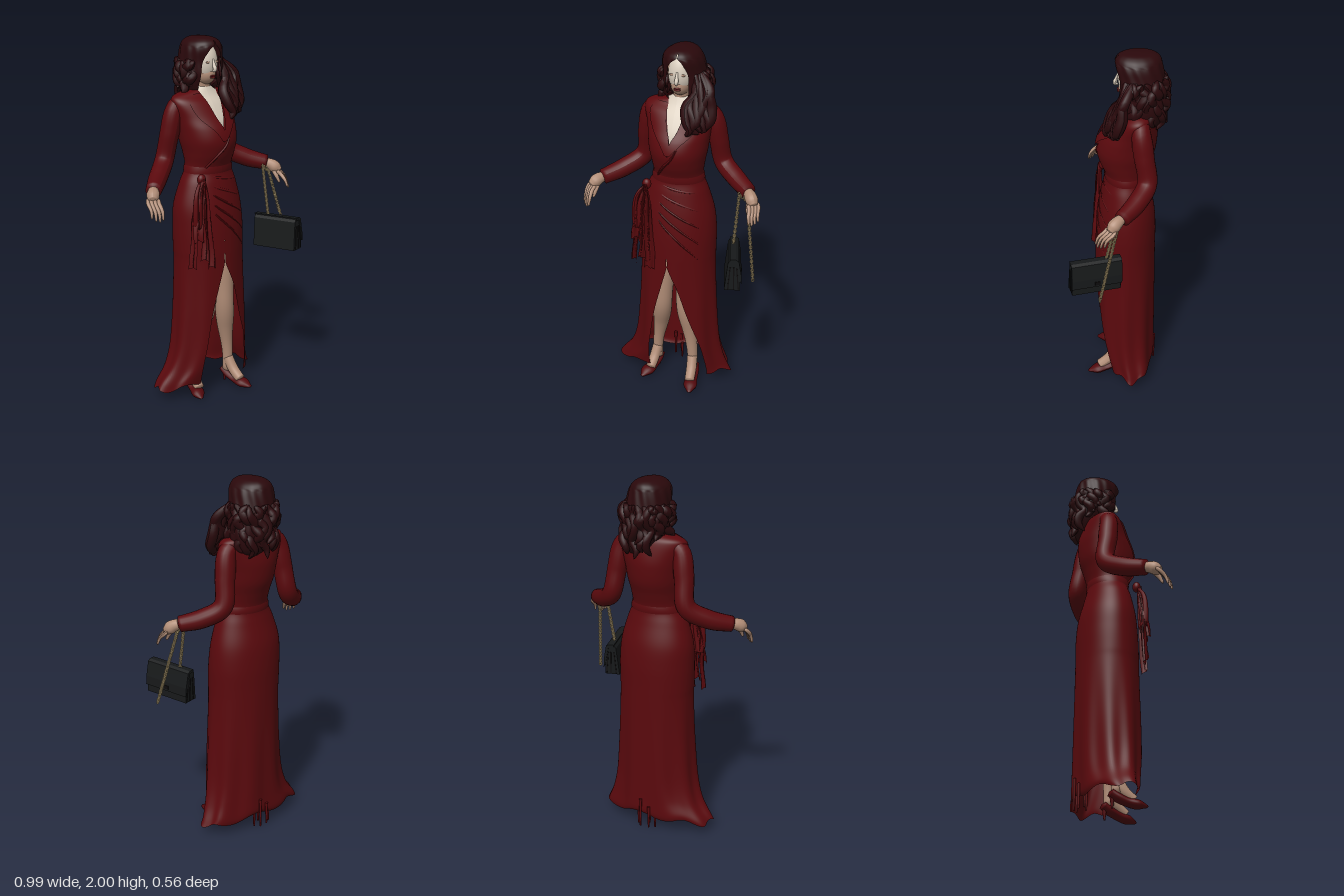
import * as THREE from 'three';

const paint = (name, color, side = THREE.FrontSide) => {
  const m = new THREE.MeshStandardMaterial({ color, side });
  m.name = name;
  return m;
};
const V = (p) => new THREE.Vector3(...p);

// smooth interpolation through a list of numbers or rows, t in 0..1
const cat = (a, b, c, d, f) =>
  b + 0.5 * f * (c - a + f * (2 * a - 5 * b + 4 * c - d + f * (3 * (b - c) + d - a)));
function sample(list, t) {
  const n = list.length - 1, i = Math.min(Math.floor(t * n), n - 1), f = t * n - i;
  const q = [-1, 0, 1, 2].map((k) => list[Math.min(Math.max(i + k, 0), n)]);
  if (typeof q[0] === 'number') return cat(...q, f);
  return q[0].map((_, k) => cat(q[0][k], q[1][k], q[2][k], q[3][k], f));
}

// sheet of quads from fn(u, v); u runs around, v runs down
function grid(nu, nv, fn) {
  const pos = [], idx = [];
  for (let j = 0; j <= nv; j++) for (let i = 0; i <= nu; i++) pos.push(...fn(i / nu, j / nv));
  for (let j = 0; j < nv; j++) for (let i = 0; i < nu; i++) {
    const a = j * (nu + 1) + i, b = a + nu + 1;
    idx.push(b, b + 1, a, b + 1, a + 1, a);
  }
  const g = new THREE.BufferGeometry();
  g.setAttribute('position', new THREE.Float32BufferAttribute(pos, 3));
  g.setIndex(idx);
  g.computeVertexNormals();
  return g;
}

// row: [y, xMin, xMax, zBack, zFront, gapLeft, gapRight]; angle 0 faces the front
const around = ([y, x0, x1, zb, zf], a, k = 1) => [
  (x0 + x1) / 2 + ((x1 - x0) / 2) * Math.sin(a) * k, y, (zb + zf) / 2 + ((zf - zb) / 2) * Math.cos(a) * k];
const edge = (r, x) => Math.asin(THREE.MathUtils.clamp((2 * x - r[1] - r[2]) / (r[2] - r[1]), -1, 1));
function loft(rows, nu, nv, ripple = () => 1, drop = () => 0) {
  return grid(nu, nv, (u, v) => {
    const r = sample(rows, v), l = Math.min(r[5], r[6]), h = Math.max(r[5], r[6]);
    const a = THREE.MathUtils.lerp(edge(r, h), edge(r, l) + 2 * Math.PI, u);
    const p = around(r, a, ripple(a, r[0]));
    p[1] += drop(a, r[0]);
    return p;
  });
}

// tapered tube through points
function limb(points, radii, sides = 14, steps = 24) {
  const curve = new THREE.CatmullRomCurve3(points.map(V));
  const g = new THREE.TubeGeometry(curve, steps, 1, sides), pos = g.attributes.position;
  const p = new THREE.Vector3();
  for (let i = 0; i <= steps; i++) {
    const c = curve.getPointAt(i / steps), r = i % steps ? sample(radii, i / steps) : 0.001;
    for (let j = 0; j <= sides; j++) {
      const k = i * (sides + 1) + j;
      p.fromBufferAttribute(pos, k).sub(c).multiplyScalar(r).add(c);
      pos.setXYZ(k, p.x, p.y, p.z);
    }
  }
  g.computeVertexNormals();
  return g;
}

const gownRows = [
  [1.72, -0.07, 0.09, -0.16, -0.05, -0.05, 0.07], [1.695, -0.165, 0.18, -0.19, -0.04, -0.045, 0.065],
  [1.66, -0.19, 0.205, -0.205, 0, -0.04, 0.055], [1.58, -0.17, 0.185, -0.22, 0.05, -0.02, 0.03],
  [1.52, -0.16, 0.175, -0.22, 0.085, 0, 0], [1.45, -0.15, 0.168, -0.21, 0.1, -0.01, -0.01],
  [1.38, -0.135, 0.155, -0.185, 0.085, -0.03, -0.03], [1.3, -0.128, 0.148, -0.165, 0.055, -0.03, -0.03],
  [1.22, -0.165, 0.178, -0.18, 0.07, -0.02, -0.02], [1.1, -0.2, 0.212, -0.21, 0.092, -0.01, -0.01],
  [0.98, -0.205, 0.225, -0.22, 0.105, -0.01, -0.01], [0.86, -0.203, 0.225, -0.22, 0.11, -0.01, -0.01],
  [0.79, -0.2, 0.225, -0.22, 0.111, -0.01, -0.008], [0.65, -0.203, 0.23, -0.22, 0.113, -0.047, 0.052],
  [0.5, -0.21, 0.238, -0.22, 0.115, -0.085, 0.1], [0.3, -0.228, 0.252, -0.22, 0.11, -0.115, 0.165],
  [0.18, -0.265, 0.275, -0.22, 0.09, -0.13, 0.19], [0.1, -0.325, 0.305, -0.22, 0.065, -0.135, 0.2],
  [0.07, -0.345, 0.32, -0.21, 0.055, -0.135, 0.2]];
function gownRow(y) {
  let t = 0;
  while (t < 1 && sample(gownRows, t)[0] > y) t += 0.002;
  return sample(gownRows, Math.min(t, 1));
}
const onGown = (y, a, off = 0.005) => {
  const p = around(gownRow(y), a);
  return [p[0] + Math.sin(a) * off, p[1], p[2] + Math.cos(a) * off];
};

export function createModel() {
  const red = paint('gown red', 0x5a090d, THREE.DoubleSide), shoeRed = paint('shoe red', 0x52080c);
  const hairMat = paint('dark auburn', 0x2a080b, THREE.DoubleSide), skin = paint('skin', 0xb08c76);
  const pale = paint('pale skin', 0xd9cdbd, THREE.DoubleSide), lip = paint('lip red', 0x6e1a1c);
  const black = paint('bag black', 0x17191a), gold = paint('chain gold', 0xbca677);
  const dark = paint('near black', 0x0e0c0d);
  const model = new THREE.Group();
  const add = (name, geo, mat, at = [0, 0, 0], size = [1, 1, 1], parent = model) => {
    const m = new THREE.Mesh(geo, mat);
    m.name = name;
    m.position.set(...at);
    m.scale.set(...size);
    parent.add(m);
    return m;
  };
  const ball = new THREE.SphereGeometry(1, 28, 20);

  // wrap gown with a front slit and a flared hem
  const low = (y) => 1 - THREE.MathUtils.smoothstep(y, 0.1, 1.0);
  add('gown', loft(gownRows, 96, 114, (a, y) => 1 + 0.035 * low(y) * Math.sin(9 * a + 1),
    (a, y) => (y < 0.3 ? (0.3 - y) * (0.04 * Math.cos(2 * a) + 0.06 * Math.sin(7 * a)) : 0)), red);
  // lapels, waistband and soft drape folds lying on the gown
  for (const s of [-1, 1]) add('lapel', grid(8, 24, (u, v) => {
    const y = 1.705 - 0.24 * v, r = gownRow(y), e = edge(r, s < 0 ? r[5] : r[6]);
    const w = 0.08 + 0.5 * Math.sin(Math.PI * Math.min(1, 0.25 + v * 0.75));
    return onGown(y, s < 0 ? e - w * (1 - u) : e + w * u, 0.009);
  }), red);
  add('waistband', grid(64, 4, (u, v) => onGown(1.32 - 0.04 * v, u * 2 * Math.PI, 0.002 + 0.004 * Math.sin(Math.PI * v))), red);
  for (let i = 0; i < 5; i++) add('drapeFold', limb([0, 1, 2, 3, 4].map((k) =>
    onGown(1.27 - i * 0.03 - k * (0.012 + i * 0.022), -0.75 + k * 0.5, -0.004)), [0.003, 0.007, 0.006, 0.003], 8), red);
  add('wrapEdge', limb([[1.5, 0.2], [1.44, 0], [1.38, -0.35], [1.31, -0.75]].map(([y, a]) => onGown(y, a, 0)), [0.004, 0.007, 0.007, 0.006], 8), red);

  // side bow with trailing ribbons
  add('bowKnot', ball, red, [-0.135, 1.265, 0.06], [0.025, 0.03, 0.022]);
  [[-0.11, 0.79, 0.06, 0.1], [-0.15, 0.84, 0.05, 0.09], [-0.205, 0.8, 0.04, 0.055], [-0.185, 0.95, 0.06, 0.08]].forEach(([x, end, w, z], k) =>
    add('sash', grid(8, 24, (u, v) => [
      THREE.MathUtils.lerp(-0.14, x, Math.min(1, v * 2)) + (u - 0.5) * w * (0.35 + 0.65 * v) + 0.006 * Math.sin(9 * v + k),
      1.27 - (1.27 - end) * v - 0.04 * v * Math.abs(u - 0.4),
      0.075 + (z - 0.055) * v + 0.012 * Math.sin(u * 9 + k + v * 3)]), red));
  for (const x of [-0.185, -0.16]) add('bowLoop', limb([[-0.14, 1.26, 0.06], [x, 1.2, 0.08], [x - 0.012, 1.08, 0.085], [x, 1.0, 0.08], [x + 0.02, 1.08, 0.08], [-0.14, 1.25, 0.07]], [0.008, 0.014, 0.018, 0.014, 0.008], 10), red);

  // loose lining strips below the hem
  for (const [x, z, h] of [[-0.05, -0.2, 0.15], [-0.02, -0.22, 0.13], [0.03, -0.225, 0.17], [0.055, -0.2, 0.14], [0, -0.17, 0.1]])
    add('liningStrip', new THREE.CylinderGeometry(0.009, 0.005, h, 8), red, [x, 0.01 + h / 2, z]);

  // neck and chest
  add('neck', limb([[0.01, 1.82, -0.09], [0.01, 1.72, -0.1], [0.01, 1.62, -0.1]], [0.045, 0.042, 0.06], 18), skin);
  add('chest', loft([[1.735, -0.03, 0.05, -0.13, -0.06, 0, 0], [1.69, -0.1, 0.12, -0.17, -0.035, 0, 0],
    [1.64, -0.15, 0.165, -0.18, 0.005, 0, 0], [1.56, -0.15, 0.165, -0.18, 0.05, 0, 0], [1.48, -0.13, 0.145, -0.17, 0.07, 0, 0]], 40, 20), pale);

  // head, with a paler forehead and cheeks
  add('head', ball, skin, [0.012, 1.862, -0.095], [0.072, 0.112, 0.082]);
  add('jaw', ball, skin, [0.012, 1.8, -0.08], [0.052, 0.058, 0.065]);
  add('paleFace', new THREE.SphereGeometry(1, 24, 20, Math.PI / 2 - 0.85, 1.7, 0.45, 1.6), pale, [0.012, 1.862, -0.095], [0.0735, 0.1135, 0.0835]);
  add('nose', limb([[0.012, 1.885, -0.016], [0.012, 1.85, -0.004], [0.012, 1.828, 0.002], [0.012, 1.82, -0.015]], [0.005, 0.008, 0.011, 0.006], 10), pale);
  for (const [y, h] of [[1.794, 0.005], [1.786, 0.006]]) add('lip', ball, lip, [0.012, y, -0.015], [0.019, h, 0.006]);
  for (const s of [-1, 1]) add('eyelid', ball, skin, [0.012 + s * 0.03, 1.868, -0.019], [0.014, 0.006, 0.004]);

  // hair shell, open over the face, and wavy locks
  add('hair', loft([
    [2.0, 0.018, 0.02, -0.116, -0.114, 0.019, 0.019], [1.995, -0.03, 0.06, -0.18, -0.05, 0.015, 0.015], [1.985, -0.055, 0.085, -0.21, -0.02, 0.015, 0.015],
    [1.965, -0.08, 0.108, -0.23, 0, 0.015, 0.015], [1.93, -0.093, 0.125, -0.24, 0.006, -0.025, 0.045],
    [1.87, -0.098, 0.137, -0.25, -0.005, -0.048, 0.07], [1.79, -0.105, 0.155, -0.26, -0.01, -0.055, 0.072],
    [1.72, -0.085, 0.165, -0.255, -0.03, -0.05, 0.065], [1.65, -0.04, 0.15, -0.24, -0.05, -0.02, 0.07],
    [1.61, 0, 0.12, -0.21, -0.08, 0.02, 0.06]], 80, 56,
  (a, y) => 1 + (y < 1.95 ? 0.02 : 0.004) * Math.sin(13 * a + 30 * y)), hairMat);
  for (let i = 0; i < 20; i++) {
    const a = 1.1 + i * 0.215, step = a > 3.7 ? 0.026 : 0.04, pts = [];
    for (let k = 0; k < 7; k++) {
      const w = a + 0.16 * Math.sin(k * 2.1 + i * 1.7), r = 0.93 + 0.1 * Math.sin(k * 1.9 + i);
      pts.push([0.025 + 0.128 * r * Math.sin(w), 1.88 - k * (step + 0.007 * Math.sin(i * 2.3)), -0.135 + 0.128 * r * Math.cos(w)]);
    }
    add('hairLock', limb(pts, [0.01, 0.022, 0.026, 0.02, 0.025, 0.02, 0.006], 9), hairMat);
  }
  for (let i = 0; i < 8; i++) {
    const x = 0.085 + i * 0.014, wave = (k) => 0.02 * Math.sin(k * 2 + i * 1.3);
    add('frontLock', limb([[0.095 + 0.004 * i, 1.88, -0.05 - i * 0.008], [x + 0.015 + wave(1), 1.78, -0.03], [x + wave(2), 1.71, 0.005 - i * 0.004],
      [x + wave(3), 1.64, 0.04 - i * 0.006], [x - 0.005 + wave(4), 1.595, 0.055 - i * 0.007], [x + wave(5), 1.56 + 0.005 * i, 0.05 - i * 0.008]],
    [0.01, 0.022, 0.026, 0.03, 0.024, 0.01], 10), hairMat);
  }

  // sleeves and hands
  const arms = {
    right: { path: [[-0.12, 1.66, -0.12], [-0.163, 1.63, -0.12], [-0.19, 1.5, -0.135], [-0.215, 1.345, -0.155], [-0.31, 1.275, -0.09], [-0.42, 1.235, 0.005]],
      wrist: [-0.405, 1.24, -0.01], knuckle: [-0.46, 1.205, 0.055], tip: [-0.472, 1.1, 0.115], out: -1 },
    left: { path: [[0.14, 1.66, -0.12], [0.18, 1.63, -0.12], [0.207, 1.5, -0.135], [0.235, 1.355, -0.15], [0.32, 1.295, -0.09], [0.42, 1.26, 0]],
      wrist: [0.405, 1.265, -0.01], knuckle: [0.455, 1.215, 0.055], tip: [0.47, 1.125, 0.115], out: 1 } };
  for (const [side, { path, wrist, knuckle: n, tip, out }] of Object.entries(arms)) {
    add(side + 'Sleeve', limb(path, [0.045, 0.054, 0.052, 0.052, 0.05, 0.042], 18, 40), red);
    add(side + 'Palm', limb([wrist, [(wrist[0] + n[0]) / 2, (wrist[1] + n[1]) / 2 + 0.008, (wrist[2] + n[2]) / 2], n], [0.026, 0.032, 0.034, 0.022], 14), skin);
    for (let f = 0; f < 4; f++) {
      const d = (f - 1.5) * 0.015, dx = d * out * 0.9, len = 1 - 0.1 * Math.abs(f - 1.3);
      const at = (p, q, t) => [p[0] + (q[0] - p[0]) * t + dx, p[1] + (q[1] - p[1]) * t, p[2] + (q[2] - p[2]) * t - d * 0.9];
      const mid = at(n, tip, 0.5 * len);
      mid[2] += 0.012;
      add(side + 'Finger', limb([at(wrist, n, 0.8), at(n, tip, 0.1), mid, at(n, tip, len)], [0.01, 0.011, 0.009, 0.006], 8, 14), skin);
    }
    add(side + 'Thumb', limb([[wrist[0] + out * 0.02, wrist[1] - 0.02, wrist[2] + 0.03], [n[0] - out * 0.03, n[1] - 0.02, n[2] + 0.005], [n[0] - out * 0.022, n[1] - 0.06, n[2] + 0.025]], [0.014, 0.013, 0.007], 8, 14), skin);
  }

  // legs and stiletto pumps
  for (const [side, x, ax, az, tx, tz] of [['right', -0.058, -0.113, -0.05, -0.148, 0.1], ['left', 0.075, 0.112, 0, 0.13, 0.17]]) {
    const mid = (t) => ax + (tx - ax) * t, dz = (t) => az - 0.04 + (tz - az + 0.04) * t;
    add(side + 'Leg', limb([[x, 0.95, -0.03], [x, 0.75, 0], [x - 0.003, 0.52, 0.015], [(x + ax) / 2, 0.35, az * 0.6], [ax, 0.17, az], [ax, 0.06, az]],
      [0.075, 0.072, 0.054, 0.052, 0.033, 0.028], 20, 40), skin);
    add(side + 'Instep', limb([[ax, 0.16, az], [mid(0.35), 0.09, dz(0.4)], [mid(0.62), 0.042, dz(0.68)]], [0.03, 0.03, 0.028], 14), skin);
    add(side + 'Shoe', limb([[0, 0.085, dz(0)], [mid(0.15) - ax, 0.06, dz(0.18)], [mid(0.4) - ax, 0.035, dz(0.45)], [mid(0.65) - ax, 0.024, dz(0.7)], [mid(1) - ax, 0.012, dz(1)]],
      [0.02, 0.023, 0.022, 0.024, 0.006], 16, 28), shoeRed, [ax, 0, 0], [1.6, 1, 1]);
    add(side + 'Heel', new THREE.CylinderGeometry(0.016, 0.005, 0.085, 10), shoeRed, [ax, 0.0425, az - 0.025]);
  }

  // handbag: wedge body, flap, gusset creases and clasp
  const bag = new THREE.Group();
  bag.name = 'handbag';
  bag.position.set(0.338, 0.8, 0.005);
  bag.rotation.set(-0.04, 0.25, 0, 'YXZ');
  model.add(bag);
  const prism = (pts, depth) => new THREE.ExtrudeGeometry(new THREE.Shape(pts.map((p) => new THREE.Vector2(...p))), { depth, bevelEnabled: false });
  add('bagBody', prism([[-0.045, 0], [0.04, 0], [0.038, 0.08], [0.024, 0.168], [0.012, 0.176], [-0.015, 0.176], [-0.027, 0.16]], 0.265), black, [0, 0, 0], [1, 1, 1], bag);
  add('bagFlap', prism([[0.047, 0.04], [0.045, 0.09], [0.03, 0.172], [0.015, 0.182], [-0.017, 0.182], [-0.015, 0.168], [0.015, 0.168], [0.036, 0.06]], 0.275), black, [0, 0, -0.005], [1, 1, 1], bag);
  for (const x of [-0.02, 0.005, 0.025]) for (const z of [-0.001, 0.266]) {
    const c = add('gussetCrease', new THREE.BoxGeometry(0.006, 0.13, 0.004), dark, [x, 0.07, z], [1, 1, 1], bag);
    c.rotation.z = x * 4;
  }
  add('clasp', new THREE.BoxGeometry(0.006, 0.02, 0.03), dark, [0.046, 0.06, 0.13], [1, 1, 1], bag);

  // chain strap of alternating links
  const link = new THREE.TorusGeometry(0.009, 0.004, 6, 12);
  for (const [from, to] of [[[0.365, 1.25, 0.01], [0.355, 0.975, 0.07]], [[0.41, 1.22, 0.01], [0.478, 0.8, 0.11]], [[0.365, 1.25, 0.01], [0.41, 1.22, 0.01]]]) {
    const a = V(from), b = V(to), n = Math.ceil(a.distanceTo(b) / 0.013);
    for (let i = 0; i <= n; i++) {
      const l = add('chainLink', link, gold, a.clone().lerp(b, i / n).toArray(), [0.8, 1.15, 1]);
      l.rotation.set(0, (i % 2) * Math.PI / 2 + 0.4, 0);
    }
  }
  return model;
}
